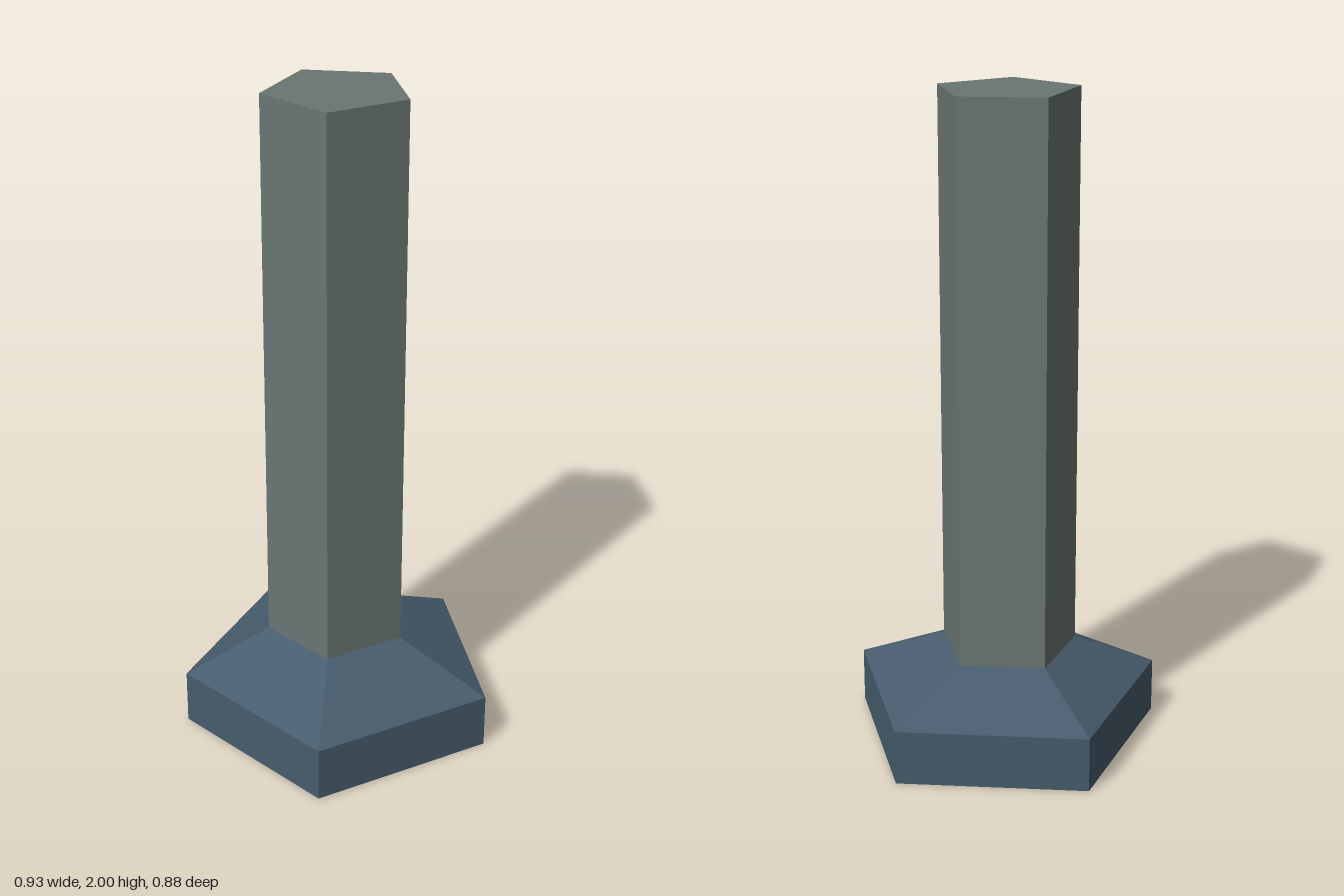
import * as THREE from 'three';

// Pentagon ring with its point towards -z, centred front to back
function ring(radius, y) {
  const offset = radius * (1 - Math.cos(Math.PI / 5)) / 2;
  return Array.from({ length: 5 }, (_, i) => {
    const a = Math.PI + (i * Math.PI * 2) / 5;
    return [radius * Math.sin(a), y, offset + radius * Math.cos(a)];
  });
}

// Flat-sided shell through a stack of rings, with an optional lid
function shell(rings, lid) {
  const pos = [];
  for (let r = 0; r < rings.length - 1; r++) {
    const lo = rings[r], hi = rings[r + 1];
    for (let i = 0; i < 5; i++) {
      const j = (i + 1) % 5;
      pos.push(...lo[i], ...lo[j], ...hi[j], ...lo[i], ...hi[j], ...hi[i]);
    }
  }
  if (lid) {
    const top = rings[rings.length - 1];
    for (let i = 1; i < 4; i++) pos.push(...top[0], ...top[i], ...top[i + 1]);
  }
  const g = new THREE.BufferGeometry();
  g.setAttribute('position', new THREE.Float32BufferAttribute(pos, 3));
  g.computeVertexNormals();
  return g;
}

function material(name, color) {
  const m = new THREE.MeshStandardMaterial({ color, flatShading: true, side: THREE.DoubleSide });
  m.name = name;
  return m;
}

export function createModel() {
  const group = new THREE.Group();
  group.name = 'pillar';
  const add = (name, geometry, mat) => {
    const mesh = new THREE.Mesh(geometry, mat);
    mesh.name = name;
    group.add(mesh);
  };

  // Hollow base: upright wall, then a slope up to the post
  add('base', shell([ring(0.487, 0), ring(0.487, 0.17), ring(0.2156, 0.295)], false),
    material('slate blue', 0x475c6d));

  // Hollow post, open below and closed on top
  add('post', shell([ring(0.2156, 0.295), ring(0.2156, 2)], true),
    material('stone grey', 0x6a7673));

  return group;
}
